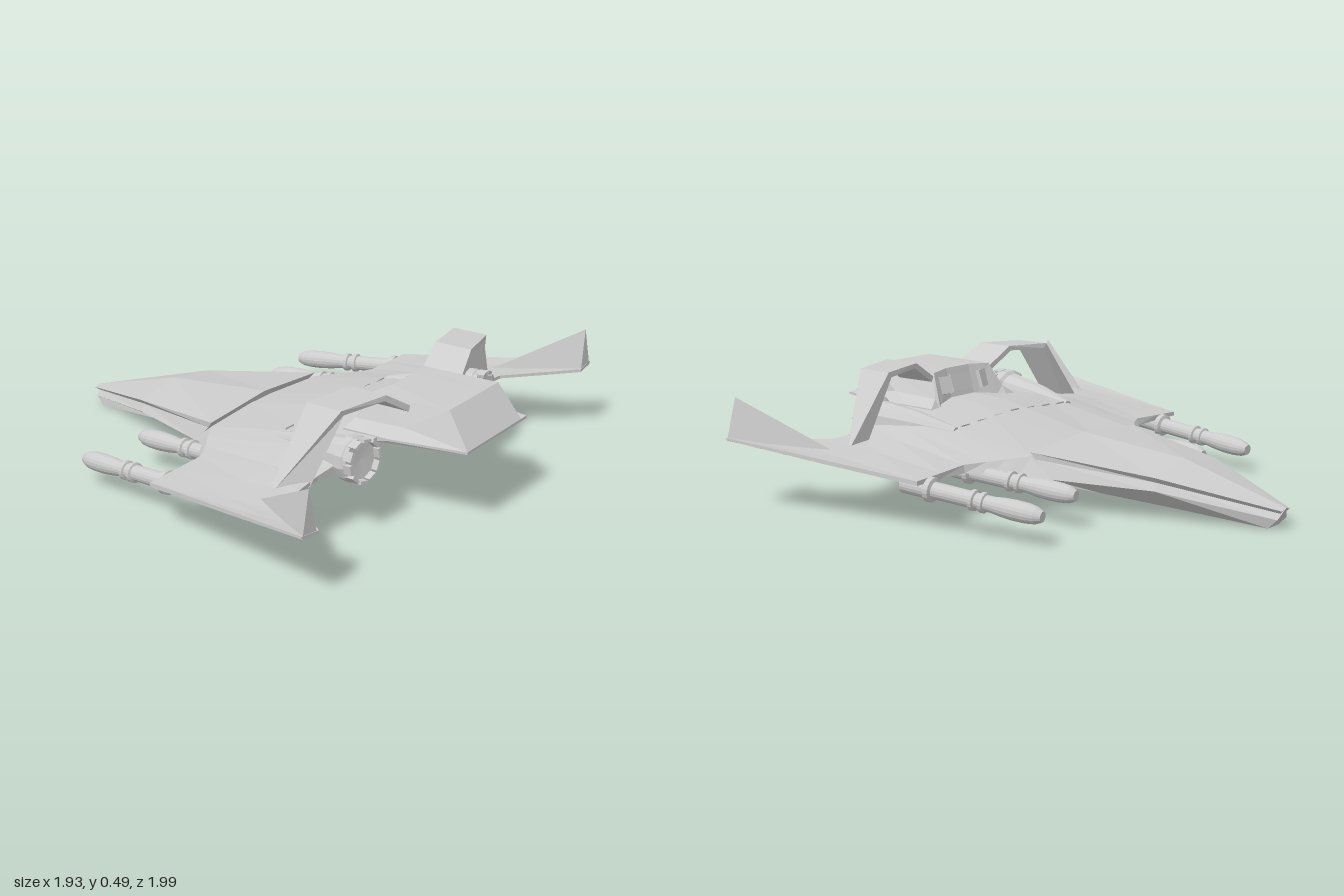
import * as THREE from 'three';

const flat = new THREE.MeshStandardMaterial({ color: 0xcccccc, flatShading: true, side: THREE.DoubleSide });
const V = (x, y, z) => new THREE.Vector3(x, y, z);

// Skin a list of closed rings of [x, y, z] points, cap both ends, turn faces outward.
function loft(name, rings) {
  const n = rings[0].length, tris = [];
  for (let i = 0; i < rings.length - 1; i++) {
    for (let j = 0; j < n; j++) {
      const k = (j + 1) % n, a = rings[i][j], b = rings[i][k], c = rings[i + 1][k], d = rings[i + 1][j];
      tris.push([a, b, c], [a, c, d]);
    }
  }
  const first = rings[0], last = rings[rings.length - 1];
  for (let j = 1; j < n - 1; j++) {
    tris.push([first[0], first[j + 1], first[j]], [last[0], last[j], last[j + 1]]);
  }
  let volume = 0;
  for (const [a, b, c] of tris) volume += V(...a).dot(V(...b).cross(V(...c)));
  if (volume < 0) tris.forEach((t) => t.reverse());
  const g = new THREE.BufferGeometry();
  g.setAttribute('position', new THREE.Float32BufferAttribute(tris.flat(2), 3));
  g.computeVertexNormals();
  const mesh = new THREE.Mesh(g, flat);
  mesh.name = name;
  return mesh;
}

// Spanwise stations { w, ring of [x, y] } mirrored to both sides.
function spanLoft(name, stations) {
  const ring = (s, side) => s.p.map(([x, y]) => [x, y, side * s.w]);
  return loft(name, [...stations.slice().reverse().map((s) => ring(s, -1)), ...stations.map((s) => ring(s, 1))]);
}

// Turned part with profile [radius, distance], laid from point a towards b.
function turned(name, profile, a, b, sides) {
  const pts = profile.map(([r, d]) => new THREE.Vector2(r, d));
  const mesh = new THREE.Mesh(new THREE.LatheGeometry(pts, sides), flat);
  mesh.position.copy(a);
  mesh.quaternion.setFromUnitVectors(V(0, 1, 0), b.clone().sub(a).normalize());
  mesh.name = name;
  return mesh;
}

// Barrel with tapered muzzle, two clamp rings and a mounting collar
function cannon(name, tip, rear) {
  return turned(name, [
    [0, 0], [0.02, 0], [0.031, 0.025], [0.036, 0.06], [0.037, 0.11], [0.034, 0.16], [0.029, 0.2],
    [0.029, 0.225], [0.037, 0.228], [0.037, 0.243], [0.029, 0.246], [0.029, 0.265], [0.038, 0.268],
    [0.038, 0.283], [0.03, 0.286], [0.031, 0.44], [0.045, 0.445], [0.045, 0.465], [0.035, 0.468], [0.035, 0.57], [0, 0.57],
  ], tip, rear, 18);
}

function engine(side) {
  const a = V(0.26, 0.25, side * 0.355), b = V(0.66, 0.275, side * 0.415);
  const nacelle = turned(side > 0 ? 'leftEngine' : 'rightEngine', [[0, 0], [0.02, 0], [0.055, 0.17], [0.068, 0.28],
    [0.072, 0.335], [0.085, 0.345], [0.085, 0.375], [0.08, 0.38], [0.08, 0.395], [0, 0.39]], a, b, 12);
  // Ring of exhaust petals around the nozzle
  for (let i = 0; i < 10; i++) {
    const t = (i / 10) * Math.PI * 2;
    const petal = new THREE.Mesh(new THREE.BoxGeometry(0.036, 0.035, 0.012), flat);
    petal.position.set(Math.sin(t) * 0.074, 0.403, Math.cos(t) * 0.074);
    petal.rotation.y = t;
    petal.name = 'exhaustPetal';
    nacelle.add(petal);
  }
  return nacelle;
}

export function createModel() {
  const model = new THREE.Group();
  model.name = 'spacecraft';
  const ship = new THREE.Group();
  ship.name = 'ship';
  model.add(ship);

  // Nose: half sections from top centre to keel edge, with a groove along each side
  const noseHalf = [
    [[-0.965, 0.075, 0], [-0.965, 0.068, 0.03], [-0.95, 0.055, 0.015], [-0.95, 0.035, 0.034], [-0.915, 0, 0.038]],
    [[-0.545, 0.195, 0], [-0.545, 0.162, 0.21], [-0.545, 0.14, 0.19], [-0.545, 0.112, 0.208], [-0.545, 0.016, 0.05]],
    [[-0.08, 0.24, 0], [-0.08, 0.215, 0.335], [-0.1, 0.19, 0.328], [-0.16, 0.125, 0.335], [-0.21, 0.03, 0.07]],
  ];
  ship.add(loft('nose', noseHalf.map((h) => [...h, ...h.slice(1).reverse().map(([x, y, z]) => [x, y, -z])])));

  // Body and wings in one span: top front, mid, rear, then bottom rear, mid, front
  ship.add(spanLoft('bodyAndWings', [
    { w: 0.07, p: [[-0.1, 0.205], [0.37, 0.308], [0.64, 0.32], [0.64, 0.285], [0.3, 0.175], [-0.21, 0.03]] },
    { w: 0.33, p: [[-0.08, 0.2], [0.37, 0.285], [0.6, 0.29], [0.6, 0.235], [0.3, 0.176], [-0.19, 0.11]] },
    { w: 0.42, p: [[-0.03, 0.196], [0.37, 0.27], [0.59, 0.273], [0.59, 0.203], [0.3, 0.177], [-0.09, 0.133]] },
    { w: 0.48, p: [[0.01, 0.192], [0.37, 0.257], [0.58, 0.258], [0.58, 0.22], [0.3, 0.181], [-0.02, 0.15]] },
    { w: 0.56, p: [[0.05, 0.19], [0.37, 0.238], [0.57, 0.246], [0.57, 0.23], [0.3, 0.19], [0.045, 0.16]] },
    { w: 0.69, p: [[0.045, 0.184], [0.35, 0.218], [0.58, 0.238], [0.58, 0.226], [0.35, 0.198], [0.045, 0.163]] },
    { w: 0.825, p: [[0.04, 0.179], [0.4, 0.214], [0.72, 0.243], [0.72, 0.231], [0.4, 0.197], [0.04, 0.163]] },
    { w: 0.91, p: [[0.43, 0.221], [0.6, 0.234], [0.825, 0.252], [0.825, 0.24], [0.6, 0.22], [0.43, 0.206]] },
    { w: 0.997, p: [[0.81, 0.262], [0.815, 0.262], [0.82, 0.262], [0.82, 0.253], [0.815, 0.253], [0.81, 0.253]] },
  ]));

  // Raised tail hood with a recessed front
  ship.add(spanLoft('tailHood', [
    { w: 0.07, p: [[0.52, 0.29], [0.555, 0.43], [0.855, 0.43], [0.955, 0.31], [0.955, 0.3], [0.64, 0.285]] },
    { w: 0.17, p: [[0.49, 0.29], [0.53, 0.425], [0.855, 0.43], [0.955, 0.31], [0.955, 0.3], [0.64, 0.285]] },
    { w: 0.21, p: [[0.46, 0.285], [0.49, 0.33], [0.7, 0.34], [0.955, 0.31], [0.955, 0.3], [0.64, 0.28]] },
    { w: 0.255, p: [[0.46, 0.285], [0.47, 0.3], [0.6, 0.302], [0.66, 0.302], [0.66, 0.295], [0.6, 0.28]] },
  ]));
  // Panes on the hood front
  for (const s of [-1, 0, 1]) {
    const pane = new THREE.Mesh(new THREE.BoxGeometry(0.015, 0.07, s ? 0.07 : 0.12), flat);
    pane.position.set(s ? 0.522 : 0.538, 0.37, s * 0.122);
    pane.rotation.set(0, s * 0.29, -0.28);
    pane.name = 'hoodPane';
    ship.add(pane);
  }

  for (const side of [-1, 1]) {
    const label = side > 0 ? 'left' : 'right';

    // Bent strap over the engine: [front, outer rear, height, offset], then inner [rear, height, offset]
    const strap = [
      [0.475, 0.49, 0.225, 0.7, 0.575, 0.225, 0.61],
      [0.475, 0.62, 0.475, 0.49, 0.62, 0.455, 0.475],
      [0.515, 0.67, 0.482, 0.29, 0.67, 0.462, 0.298],
      [0.53, 0.7, 0.41, 0.17, 0.7, 0.39, 0.18],
    ];
    ship.add(loft(label + 'EngineArch', strap.map(([f, r, y, w, ri, yi, wi]) =>
      [[f, y, side * w], [r, y, side * w], [ri, yi, side * wi], [f, yi, side * wi]])));

    // Upswept wing tip fin
    const apex = [0.815, 0.408, side * 0.95];
    ship.add(loft(label + 'TipFin', [
      [[0.47, 0.21, side * 0.77], [0.82, 0.248, side * 0.992], [0.822, 0.24, side * 0.915]],
      [apex, apex, apex],
    ]));

    ship.add(engine(side));
    // Cannons sit slightly off the mirror line
    const at = (x, y, w) => V(x, y, side * w - 0.02);
    ship.add(cannon(label + 'OuterCannon', at(-0.42, 0.1, 0.685), at(0.15, 0.15, 0.755)));
    ship.add(cannon(label + 'InnerCannon', at(-0.37, 0.115, 0.425), at(0.2, 0.155, 0.475)));
  }

  // Thin panel strips across the deck
  for (let i = -3; i <= 3; i++) {
    const strip = new THREE.Mesh(new THREE.BoxGeometry(0.006, 0.006, 0.05), flat);
    strip.position.set(0.26, 0.286 - Math.abs(i) * 0.0055, i * 0.1);
    strip.name = 'deckStrip';
    ship.add(strip);
  }

  // Slight roll and yaw of the whole craft
  ship.rotation.set(0.012, -0.03, 0);
  ship.position.set(0.003, 0.001, -0.03);
  return model;
}
